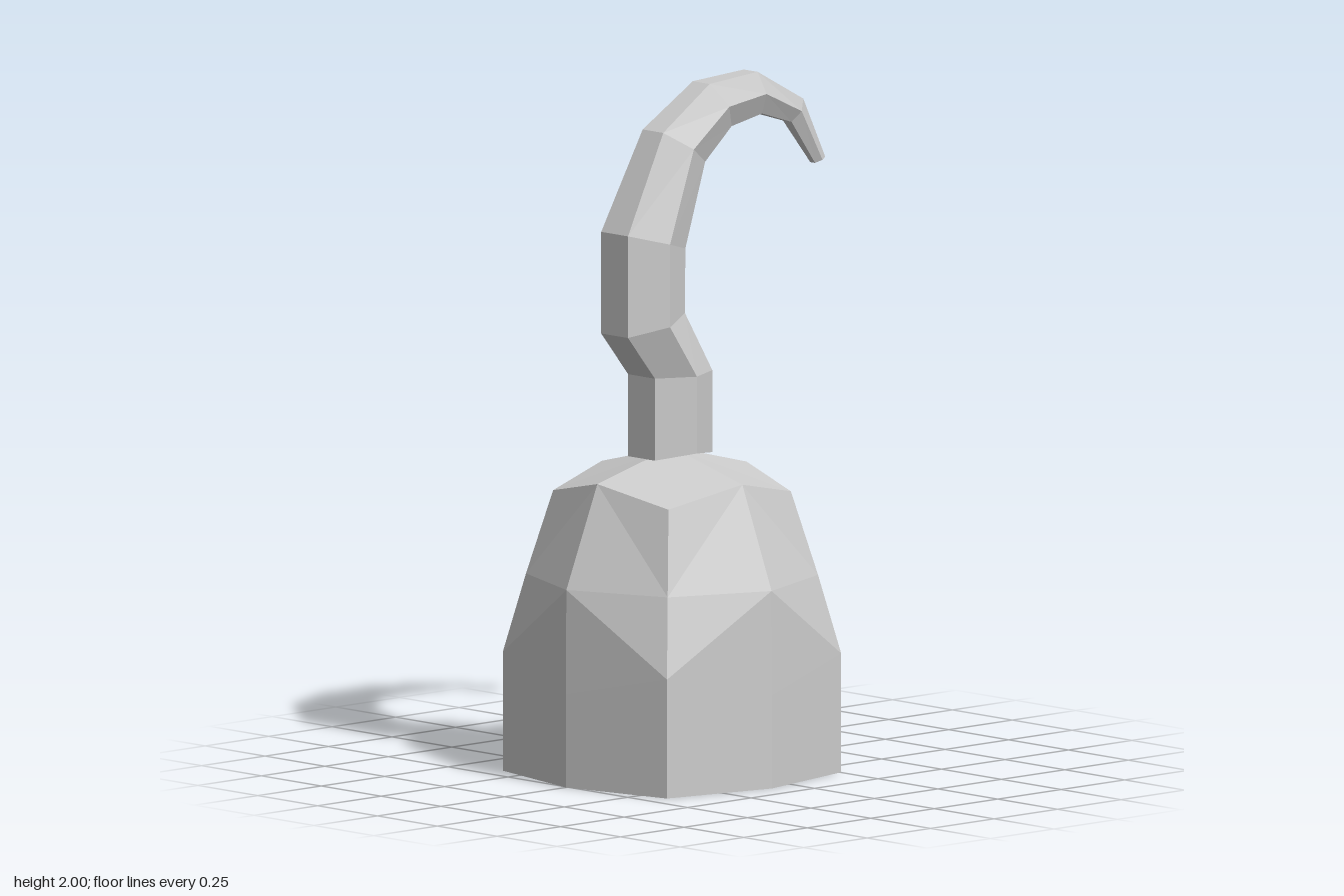
import * as THREE from 'three';

const material = new THREE.MeshStandardMaterial({
  color: 0xcccccc, flatShading: true, side: THREE.DoubleSide,
});

// Skins closed rings of points and closes the end with a fan to the tip.
// splitAlong(i) chooses the diagonal of the i-th side of every band.
function loft(name, rings, tip, splitAlong) {
  const points = [];
  const n = rings[0].length;
  const add = (...corners) => corners.forEach((p) => points.push(...p));
  rings.forEach((low, r) => {
    const up = rings[r + 1];
    for (let i = 0; i < n; i++) {
      const j = (i + 1) % n;
      if (!up) add(low[i], tip, low[j]);
      else if (splitAlong(i)) add(low[i], up[i], up[j], low[i], up[j], low[j]);
      else add(low[i], up[i], low[j], up[i], up[j], low[j]);
    }
  });
  const geometry = new THREE.BufferGeometry();
  geometry.setAttribute('position', new THREE.Float32BufferAttribute(points, 3));
  geometry.computeVertexNormals();
  const mesh = new THREE.Mesh(geometry, material);
  mesh.name = name;
  return mesh;
}

// Eight-sided cup, open below: [side reach, side height, corner offset, corner height]
function createCup() {
  const levels = [
    [0.418, 0, 0.343, 0],
    [0.418, 0.27, 0.343, 0.345],
    [0.416, 0.573, 0.296, 0.573],
    [0.294, 0.867, 0.241, 0.815],
  ];
  const rings = levels.map(([side, sideY, corner, cornerY]) =>
    Array.from({ length: 8 }, (_, i) => {
      const a = (i * Math.PI) / 4;
      const isCorner = i % 2 === 1;
      const r = isCorner ? corner * Math.SQRT2 : side;
      return [r * Math.cos(a), isCorner ? cornerY : sideY, r * Math.sin(a)];
    }));
  const cup = loft('cup', rings, [0, 0.942, 0], (i) => i % 2 === 1);
  cup.position.x = -0.09;
  return cup;
}

// Six-sided tapering hook: [outer x, y, middle x, y, inner x, y, half width]
function createHook() {
  const sections = [
    [-0.21, 0.922, -0.097, 0.937, 0.016, 0.922, 0.112],
    [-0.21, 1.16, -0.097, 1.16, 0.016, 1.16, 0.112],
    [-0.316, 1.29, -0.203, 1.315, -0.092, 1.338, 0.112],
    [-0.316, 1.585, -0.203, 1.555, -0.09, 1.525, 0.112],
    [-0.165, 1.867, -0.085, 1.815, 0.0, 1.765, 0.086],
    [0.025, 1.987, 0.07, 1.92, 0.112, 1.855, 0.07],
    [0.22, 2.0, 0.228, 1.938, 0.238, 1.877, 0.058],
    [0.41, 1.9, 0.387, 1.868, 0.364, 1.837, 0.036],
    [0.504, 1.72, 0.484, 1.714, 0.464, 1.706, 0.02],
  ];
  const rings = sections.map(([ox, oy, mx, my, ix, iy, w]) => [
    [ix, iy, w / 2], [mx, my, w], [ox, oy, w / 2],
    [ox, oy, -w / 2], [mx, my, -w], [ix, iy, -w / 2],
  ]);
  return loft('hook', rings, [0.484, 1.713, 0], (i) => i >= 3);
}

export function createModel() {
  const model = new THREE.Group();
  model.name = 'hookHand';
  model.add(createCup(), createHook());
  return model;
}
